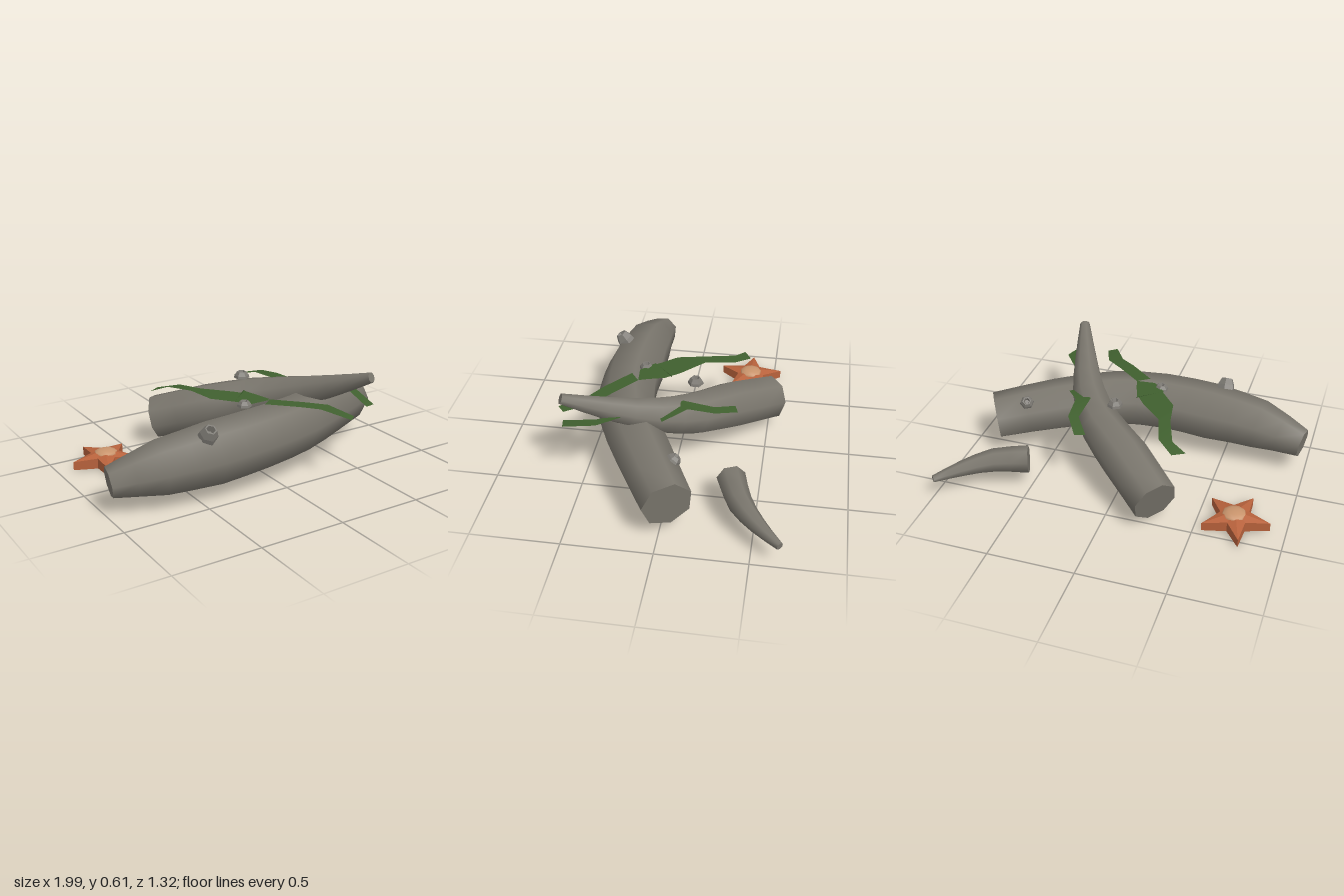
import * as THREE from 'three';

const mat = (name, color, extra = {}) => Object.assign(new THREE.MeshStandardMaterial({ color, ...extra }), { name });

function geometry(positions, index) {
  const g = new THREE.BufferGeometry();
  g.setAttribute('position', new THREE.Float32BufferAttribute(positions, 3));
  if (index) g.setIndex(index);
  g.computeVertexNormals();
  return g;
}

// Tapered bent log: stations are [x, y, z, radius]; flat caps at both ends
function logGeometry(stations, sides, phase) {
  const curve = new THREE.CatmullRomCurve3(stations.map(s => new THREE.Vector3(s[0], s[1], s[2])));
  const spans = stations.length - 1, rings = spans * 2;
  const pos = [], index = [], loops = [];
  for (let i = 0; i <= rings; i++) {
    const t = i / rings, k = Math.min(Math.floor(t * spans), spans - 1);
    const r = THREE.MathUtils.lerp(stations[k][3], stations[k + 1][3], t * spans - k) * 1.03;
    const c = curve.getPoint(t), dir = curve.getTangent(t);
    const u = new THREE.Vector3(0, 1, 0).cross(dir).normalize();
    const v = dir.clone().cross(u);
    const loop = [];
    for (let j = 0; j < sides; j++) {
      const a = phase + (j / sides) * Math.PI * 2;
      const p = c.clone().addScaledVector(u, r * Math.cos(a)).addScaledVector(v, r * Math.sin(a));
      loop.push(p);
      pos.push(p.x, p.y, p.z);
    }
    loops.push([c, loop]);
  }
  for (let i = 0; i < rings; i++) {
    for (let j = 0; j < sides; j++) {
      const a = i * sides + j, b = i * sides + (j + 1) % sides;
      index.push(a, b, a + sides, b, b + sides, a + sides);
    }
  }
  // Caps have their own vertices so the rims stay sharp
  [loops[0], loops[rings]].forEach(([c, loop], end) => {
    const base = pos.length / 3;
    pos.push(c.x, c.y, c.z);
    loop.forEach(p => pos.push(p.x, p.y, p.z));
    for (let j = 0; j < sides; j++) {
      const a = base + 1 + j, b = base + 1 + (j + 1) % sides;
      index.push(base, ...(end ? [a, b] : [b, a]));
    }
  });
  return geometry(pos, index);
}

// Flat ribbon: rows are [x1, z1, x2, z2, y]
function ribbonGeometry(rows) {
  const pos = [], index = [];
  rows.forEach(([x1, z1, x2, z2, y], i) => {
    pos.push(x1, y, z1, x2, y, z2);
    if (i) index.push(2 * i - 2, 2 * i, 2 * i - 1, 2 * i - 1, 2 * i, 2 * i + 1);
  });
  return geometry(pos, index);
}

// Five-armed star with upright edges and a raised middle
function starGeometry() {
  const pos = [];
  const at = (k, top) => {
    const a = Math.PI + 0.02 + k * Math.PI / 5, tip = k % 2 === 0, r = tip ? 0.2 : 0.085;
    return [r * Math.cos(a), top ? (tip ? 0.05 : 0.062) : 0, r * Math.sin(a)];
  };
  for (let k = 0; k < 10; k++) {
    const t0 = at(k, true), t1 = at(k + 1, true), b0 = at(k, false), b1 = at(k + 1, false);
    pos.push(0, 0.088, 0, ...t1, ...t0);
    pos.push(...b0, ...t0, ...t1, ...b0, ...t1, ...b1);
    pos.push(0, 0, 0, ...b0, ...b1);
  }
  return geometry(pos);
}

export function createModel() {
  const model = new THREE.Group();
  const wood = mat('weathered wood', 0x7a766d);
  const shell = mat('barnacle grey', 0x7e7b75, { side: THREE.DoubleSide });
  const weed = mat('seaweed green', 0x40602f, { side: THREE.DoubleSide });
  const orange = mat('starfish orange', 0xb8623c);
  const tan = mat('starfish tan', 0xc9946c);
  const add = (name, g, m) => {
    const mesh = new THREE.Mesh(g, m);
    mesh.name = name;
    model.add(mesh);
    return mesh;
  };

  // Three pieces of driftwood
  add('mainLog', logGeometry([
    [-0.97, 0.18, 0.27, 0.085], [-0.7, 0.22, 0.325, 0.15], [-0.4, 0.24, 0.345, 0.174],
    [-0.1, 0.26, 0.34, 0.17], [0.2, 0.265, 0.28, 0.164], [0.52, 0.25, 0.13, 0.155],
    [0.85, 0.215, -0.05, 0.14]], 7, 0.4), wood);
  add('crossLog', logGeometry([
    [-0.29, 0.165, -0.5, 0.13], [-0.05, 0.25, -0.28, 0.137], [0.16, 0.32, -0.1, 0.122],
    [0.3, 0.385, 0.1, 0.1], [0.41, 0.48, 0.35, 0.065], [0.5, 0.58, 0.585, 0.03]], 8, 0.2), wood);
  add('smallBranch', logGeometry([
    [0.52, 0.167, -0.35, 0.08], [0.71, 0.163, -0.415, 0.068], [0.86, 0.148, -0.525, 0.045],
    [0.985, 0.133, -0.65, 0.02]], 7, 0.3), wood);

  // Seaweed blades draped over the logs
  const blades = [
    [[-0.41, -0.33, -0.34, -0.37, 0.4], [-0.32, -0.28, -0.24, -0.28, 0.425],
      [-0.26, -0.11, -0.19, -0.11, 0.44], [-0.23, 0.06, -0.06, 0.02, 0.436],
      [-0.14, 0.17, 0, 0.1, 0.435], [-0.08, 0.25, 0.04, 0.25, 0.433]],
    [[0, 0.06, -0.01, 0.06, 0.445], [-0.14, 0.18, 0.03, 0.18, 0.44], [-0.06, 0.26, 0.05, 0.25, 0.437]],
    [[-0.02, 0.3, 0.05, 0.25, 0.436], [0.13, 0.43, 0.19, 0.37, 0.43],
      [0.22, 0.5, 0.3, 0.46, 0.42], [0.31, 0.66, 0.36, 0.62, 0.39]],
    [[0.17, -0.33, 0.23, -0.35, 0.4], [0.25, -0.22, 0.31, -0.23, 0.435],
      [0.24, -0.04, 0.32, -0.08, 0.455], [0.37, 0.07, 0.41, 0.05, 0.42]],
    [[0.42, 0.25, 0.46, 0.27, 0.46], [0.49, 0.4, 0.545, 0.39, 0.455], [0.47, 0.59, 0.53, 0.58, 0.415]],
  ];
  blades.forEach((rows, i) => add('seaweedBlade' + (i + 1), ribbonGeometry(rows), weed));

  // Barnacles: little six-sided cones with a sunken opening
  const profile = [[1, 0], [0.92, 0.35], [0.6, 0.85], [0.45, 0.85], [0.3, 0.4], [0, 0.4]]
    .map(([r, y]) => new THREE.Vector2(r, y));
  const barnacle = new THREE.LatheGeometry(profile, 6).toNonIndexed();
  barnacle.computeVertexNormals();
  const up = new THREE.Vector3(0, 1, 0);
  [
    [-0.46, 0.375, 0.42, 0.056, [0, 0.75, 0.5], 1.4],
    [-0.11, 0.42, 0.23, 0.042, [0, 1, 0], 0.9],
    [0.075, 0.467, -0.09, 0.046, [0, 1, 0], 0.95],
    [0.645, 0.35, -0.05, 0.042, [-0.25, 0.75, -0.6], 0.9],
  ].forEach(([x, y, z, r, axis, tall], i) => {
    const b = add('barnacle' + (i + 1), barnacle, shell);
    b.position.set(x, y, z);
    b.scale.set(r, r * tall, r);
    b.quaternion.setFromUnitVectors(up, new THREE.Vector3(...axis).normalize());
  });

  // Starfish with a paler middle
  add('starfish', starGeometry(), orange).position.set(-0.71, 0, -0.35);
  const middle = add('starfishMiddle', new THREE.SphereGeometry(0.072, 9, 6), tan);
  middle.position.set(-0.705, 0.063, -0.35);
  middle.scale.y = 0.41;
  return model;
}
